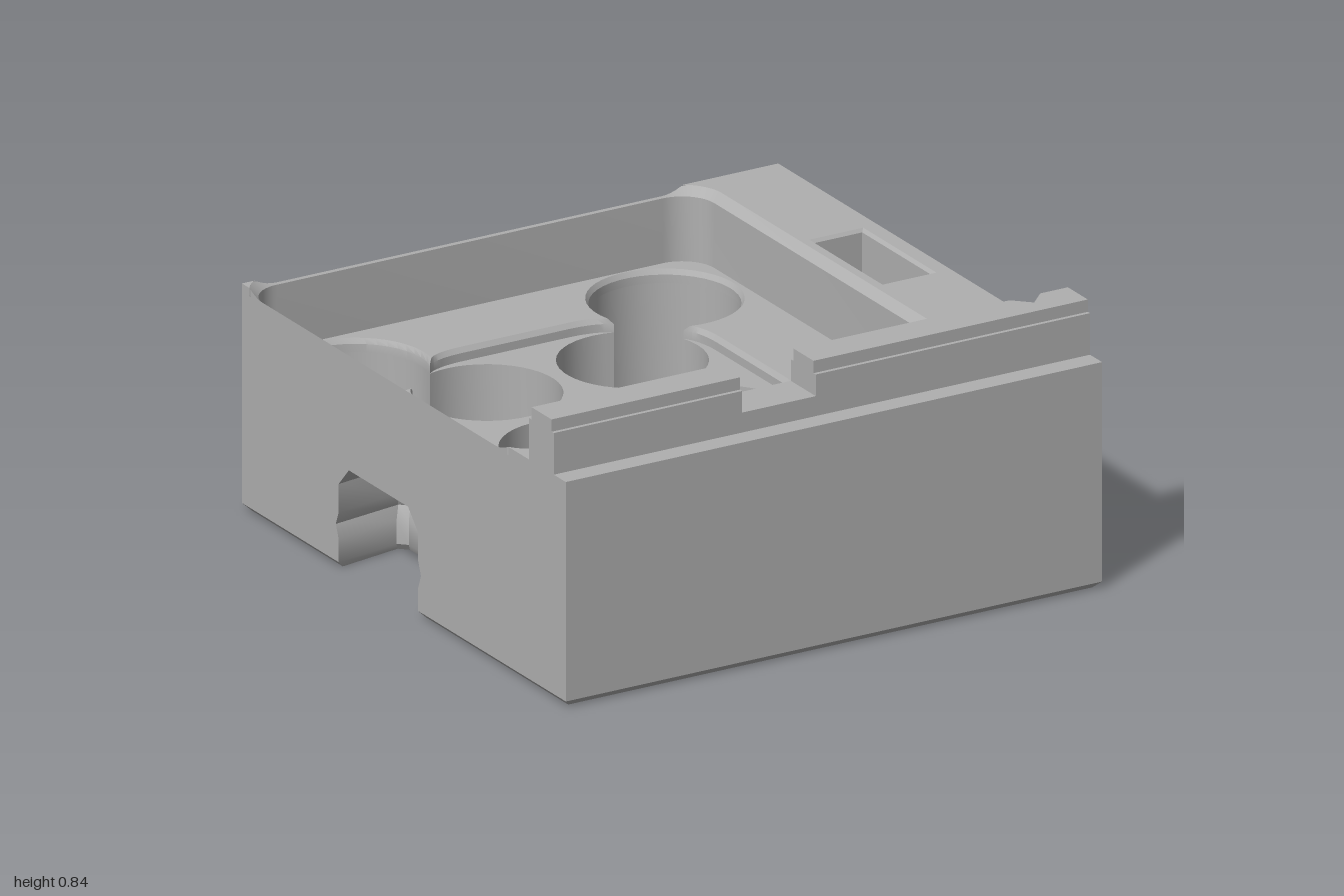
import * as THREE from 'three';
import { toCreasedNormals } from 'three/addons/utils/BufferGeometryUtils.js';

const grey = new THREE.MeshStandardMaterial({ color: 0xb0b0b0, side: THREE.DoubleSide });
grey.name = 'grey plastic';

const X0 = -1, X1 = 0.75, Z0 = -0.88, Z1 = 0.87, TOP = 0.68;
const RIM = 0.655, FLOOR = 0.46, RECESS = 0.42, WELL = 0.05;
const CX = -0.265, CZ = -0.1425; // centre of the tray
const CORNERS = [[-1, -1], [1, -1], [1, 1], [-1, 1]];

// Plan points are [x, z]; at() lifts them to a height.
const at = (pts, y) => pts.map(([x, z]) => new THREE.Vector3(x, y, z));
const arc = (cx, cz, r, a0, a1, n = 24) => Array.from({ length: n + 1 }, (_, i) => {
  const a = a0 + (a1 - a0) * i / n;
  return [cx + r * Math.cos(a), cz + r * Math.sin(a)];
});

// Skin through a stack of matching rings.
function loft(rings, closed = true) {
  const n = rings[0].length, pos = [], idx = [];
  rings.forEach(r => r.forEach(p => pos.push(p.x, p.y, p.z)));
  for (let k = 0; k < rings.length - 1; k++) {
    for (let i = 0; i < (closed ? n : n - 1); i++) {
      const a = k * n + i, b = k * n + (i + 1) % n;
      idx.push(a, a + n, b, b, a + n, b + n);
    }
  }
  const g = new THREE.BufferGeometry();
  g.setAttribute('position', new THREE.Float32BufferAttribute(pos, 3));
  g.setIndex(idx);
  return toCreasedNormals(g, 0.5);
}

// Flat horizontal face with optional holes.
function face(pts, y, up = true, holes = []) {
  const v = p => p.map(([x, z]) => new THREE.Vector2(x, z));
  const s = new THREE.Shape(v(pts));
  s.holes = holes.map(h => new THREE.Path(v(h)));
  const g = new THREE.ShapeGeometry(s);
  g.rotateX(Math.PI / 2).translate(0, y, 0);
  if (up) g.index.array.reverse();
  g.computeVertexNormals();
  return g;
}

function prism(pts, y0, y1) {
  const s = new THREE.Shape(pts.map(([x, z]) => new THREE.Vector2(x, z)));
  const g = new THREE.ExtrudeGeometry(s, { depth: y1 - y0, bevelEnabled: false });
  return g.rotateX(Math.PI / 2).translate(0, y1, 0);
}

// Dovetail plan shared by the clip and its sockets: [depth, sideways].
function dovetail(e, i) {
  const half = [[e, 0.215 - i], [0.21 - i, 0.25 - i], [0.235 - i, 0.225 - i]];
  return [...half, ...half.slice().reverse().map(([d, w]) => [d, -w])];
}
const backSocket = (e, i) => dovetail(e, i).map(([d, w]) => [CX + w, Z0 + d]);
const leftSocket = (e, i) => dovetail(e, i).map(([d, w]) => [X0 + d, CZ - w]);

const bodyRing = (e, i) => [
  [X0 + e, Z1 - e], [X1 - e, Z1 - e], [X1 - e, Z0 + e], ...backSocket(e, i),
  [X0 + e, Z0 + e], ...leftSocket(e, i),
];

// Rounded square of the tray rim.
const trayRing = r => CORNERS.flatMap(([sx, sz], k) =>
  arc(-0.26 + 0.63 * sx, -0.14 + 0.63 * sz, r, Math.PI * (1 + k / 2), Math.PI * (1.5 + k / 2), 12));

// One corner's two overlapping wells: outer arc and inner arc, cusp to cusp.
function wellArcs(k, r) {
  const [sx, sz] = CORNERS[k], dir = Math.atan2(sz, sx);
  const open = Math.acos(0.18915 / r);
  return {
    outer: arc(CX + 0.505 * sx, CZ + 0.505 * sz, r, dir - Math.PI + open, dir + Math.PI - open, 36),
    inner: arc(CX + 0.2375 * sx, CZ + 0.2375 * sz, r, dir + open, dir + 2 * Math.PI - open, 36),
  };
}

// Recess outline: a soft-cornered square joined to the wells at each corner.
function recessRing(kind, r, half) {
  return CORNERS.flatMap((_, k) => {
    let a = wellArcs(k, r)[kind];
    if (kind === 'inner') a = a.slice().reverse();
    const turn = k * Math.PI / 2, c = Math.cos(turn), s = Math.sin(turn);
    const rot = (x, z) => new THREE.Vector2(CX + x * c - z * s, CZ + x * s + z * c);
    const cusp = p => new THREE.Vector2(...p);
    const next = wellArcs((k + 1) % 4, r).outer[0];
    const q1 = new THREE.QuadraticBezierCurve(cusp(a[a.length - 1]), rot(-0.26, -half), rot(-0.17, -half));
    const q2 = new THREE.QuadraticBezierCurve(rot(0.17, -half), rot(0.26, -half), cusp(next));
    return [...a, ...q1.getPoints(8).slice(1), ...q2.getPoints(8).slice(0, -1)].map(p => Array.isArray(p) ? p : [p.x, p.y]);
  });
}

export function createModel() {
  const model = new THREE.Group();
  const add = (name, ...geos) => {
    const group = new THREE.Group();
    group.name = name;
    geos.forEach(g => {
      const m = new THREE.Mesh(g, grey);
      m.name = name;
      group.add(m);
    });
    model.add(group);
  };

  // Body shell with chamfered foot and two dovetail sockets
  const levels = [[0, 0.02, -0.01], [0.02, 0, 0], [0.09, 0, 0], [0.13, 0, -0.015],
    [0.17, 0, 0], [0.255, 0, 0], [0.315, 0, 0.055]];
  const plain = [[X0, Z1], [X1, Z1], [X1, Z0], [X0, Z0]];
  add('body',
    loft(levels.map(([y, e, i]) => at(bodyRing(e, i), y))),
    face(bodyRing(0.02, -0.01), 0, false),
    loft([at(plain, 0.315), at(plain, RIM)]));
  add('socketRoof', face(backSocket(0, 0.055), 0.315, false), face(leftSocket(0, 0.055), 0.315, false));

  // Tray rim: chamfer cut short where it runs out of the body
  const inner = trayRing(0.105), outer = trayRing(0.13), skirt = [];
  const rim = outer.map(([px, pz], n) => {
    const [qx, qz] = inner[n];
    let t = 1;
    if (px < X0) t = Math.min(t, (qx - X0) / (qx - px));
    if (pz < Z0) t = Math.min(t, (qz - Z0) / (qz - pz));
    return new THREE.Vector3(qx + (px - qx) * t, RIM + (TOP - RIM) * t, qz + (pz - qz) * t);
  });
  const low = rim.map(p => new THREE.Vector3(p.x, RIM, p.z));
  for (let n = 0; n < rim.length; n++) {
    const m = (n + 1) % rim.length;
    if (rim[n].y < TOP - 1e-4 || rim[m].y < TOP - 1e-4) skirt.push(loft([[low[n], low[m]], [rim[n], rim[m]]], false));
  }
  add('trayWall', loft([at(inner, FLOOR), at(inner, RIM), rim]), ...skirt);

  // Top deck around two sides, with the small corner left at the back
  const b = Math.asin(0.11 / 0.13), H = Math.PI / 2;
  const deckEdge = [
    ...arc(0.37, -0.77, 0.13, -b, 0, 10), ...arc(0.37, 0.49, 0.13, 0, H, 12),
    ...arc(-0.89, 0.49, 0.13, H, H + b, 10),
  ];
  const side = [[X0, deckEdge[deckEdge.length - 1][1]], [X0, Z1], [X1, Z1], [X1, Z0], [deckEdge[0][0], Z0]];
  const tip = [...arc(-0.89, -0.77, 0.13, Math.PI + H - b, Math.PI + b, 6)];
  const tipSide = [tip[0], [X0, Z0], tip[tip.length - 1]];
  const slot = o => [[0.535 - o, -0.335 - o], [0.695 + o, -0.335 - o], [0.695 + o, 0.045 + o], [0.535 - o, 0.045 + o]];
  add('deck',
    face([...side, ...deckEdge], TOP, true, [slot(0.008)]),
    loft([at(side, RIM), at(side, TOP)], false),
    face([...tip, [X0, Z0]], TOP), loft([at(tipSide, RIM), at(tipSide, TOP)], false));
  add('deckSlot', loft([at(slot(0), 0.48), at(slot(0), 0.67), at(slot(0.008), TOP)]), face(slot(0), 0.48));

  // Tray floor, shallow recess and the eight round wells
  const recessTop = recessRing('outer', 0.223, 0.485), recessLow = recessRing('outer', 0.214, 0.475);
  add('trayFloor', face(inner, FLOOR, true, [recessTop]));
  add('recess',
    loft([at(recessLow, RECESS), at(recessLow, FLOOR - 0.015), at(recessTop, FLOOR)]),
    face(recessRing('inner', 0.214, 0.475), RECESS));
  CORNERS.forEach((_, k) => {
    const w = wellArcs(k, 0.214), ring = [...w.outer, ...w.inner.slice(1, -1)];
    add('wells', loft([at(ring, WELL), at(ring, RECESS)]), face(ring, WELL));
  });

  // Stepped front rail with a gap and a V groove on its inner side
  const rail = (x0, x1, z0, z1, y0, y1, groove) => {
    const w = 0.735 - z0;
    const vee = groove ? [[0.61 - w, z0], [0.61, 0.735], [0.61 + w, z0]] : [];
    return prism([[x0, z0], ...vee, [x1, z0], [x1, z1], [x0, z1]], y0, y1);
  };
  add('frontRail', rail(X0, X1, 0.67, 0.805, TOP, 0.74, true),
    ...[[X0, -0.385, false], [-0.145, X1, true]].flatMap(([a, c, v]) => [
      rail(a, c, 0.67, 0.805, 0.74, 0.805, v), rail(a, c, 0.685, 0.793, 0.805, 0.842, v)]));

  // Split dovetail clip on the side
  const clipRing = i => {
    const p = dovetail(-0.01, i), d = 0.235 - i;
    p.splice(3, 0, [d, 0.037], [0.02, 0.037], [0.02, -0.037], [d, -0.037]);
    return p.map(([x, w]) => [X1 + x, CZ + w]);
  };
  const clip = [[0, 0.012], [0.015, 0], [0.09, 0], [0.13, -0.015], [0.17, 0], [0.255, 0], [0.312, 0.055]];
  add('sideClip', loft(clip.map(([y, i]) => at(clipRing(i), y))),
    face(clipRing(0.012), 0, false), face(clipRing(0.055), 0.312));

  return model;
}
